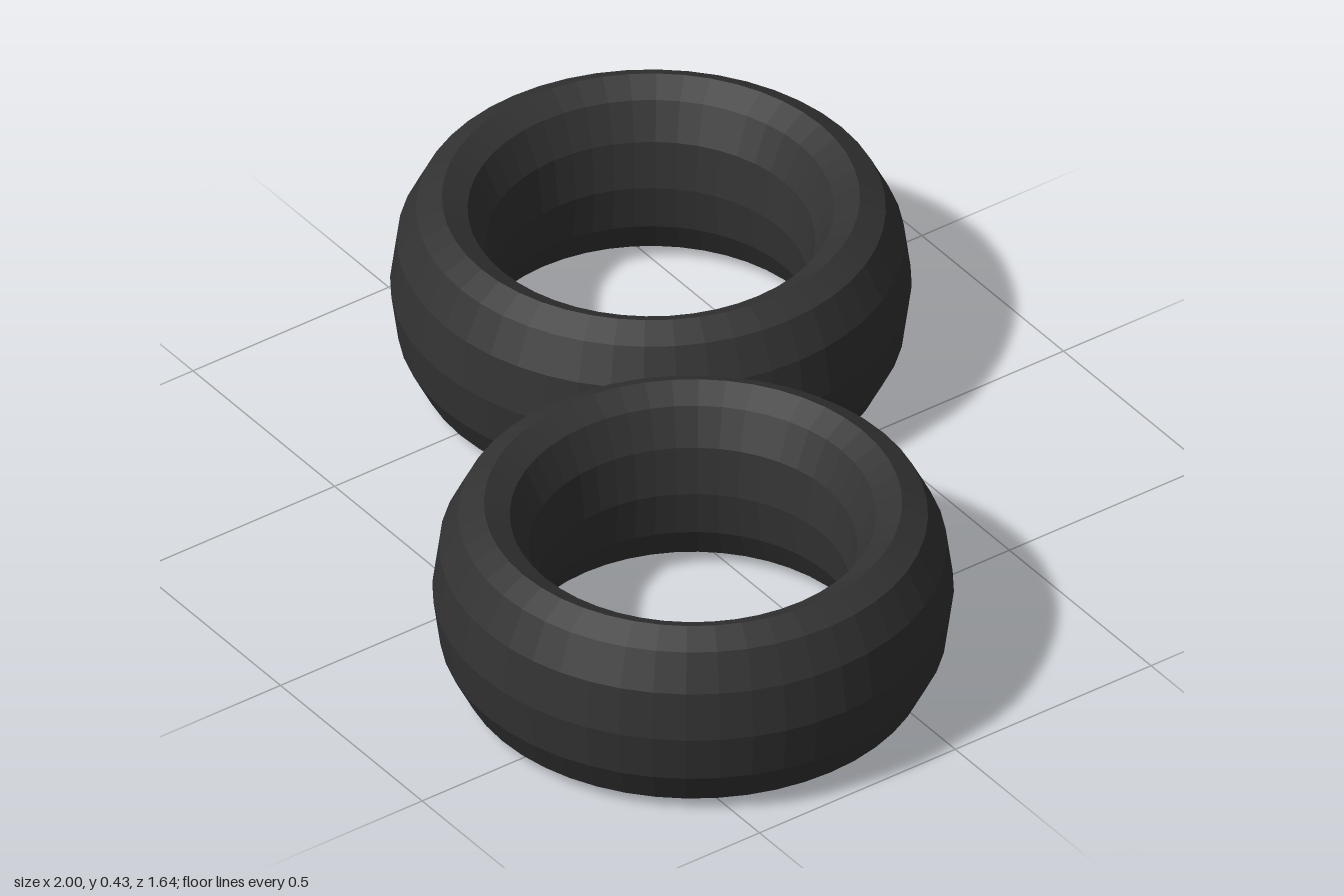
import * as THREE from 'three';

const RING = 0.433;   // radius to the middle of the tyre wall
const WALL = 0.107;   // half thickness of the wall
const HEIGHT = 0.432; // tyre width, lying flat

export function createModel() {
  const group = new THREE.Group();
  group.name = 'tyrePair';

  const rubber = new THREE.MeshStandardMaterial({ color: 0x333333, flatShading: true });

  // Twelve-sided ring section, laid flat and stretched upwards
  const geometry = new THREE.TorusGeometry(RING, WALL, 12, 48);
  geometry.rotateX(-Math.PI / 2);
  geometry.scale(1, HEIGHT / (2 * WALL), 1);
  geometry.translate(0, HEIGHT / 2, 0);

  // Two tyres lying side by side, just touching
  for (const [name, side] of [['leftTyre', 1], ['rightTyre', -1]]) {
    const tyre = new THREE.Mesh(geometry, rubber);
    tyre.name = name;
    tyre.position.set(side * 0.46, 0, side * 0.279);
    group.add(tyre);
  }
  return group;
}
